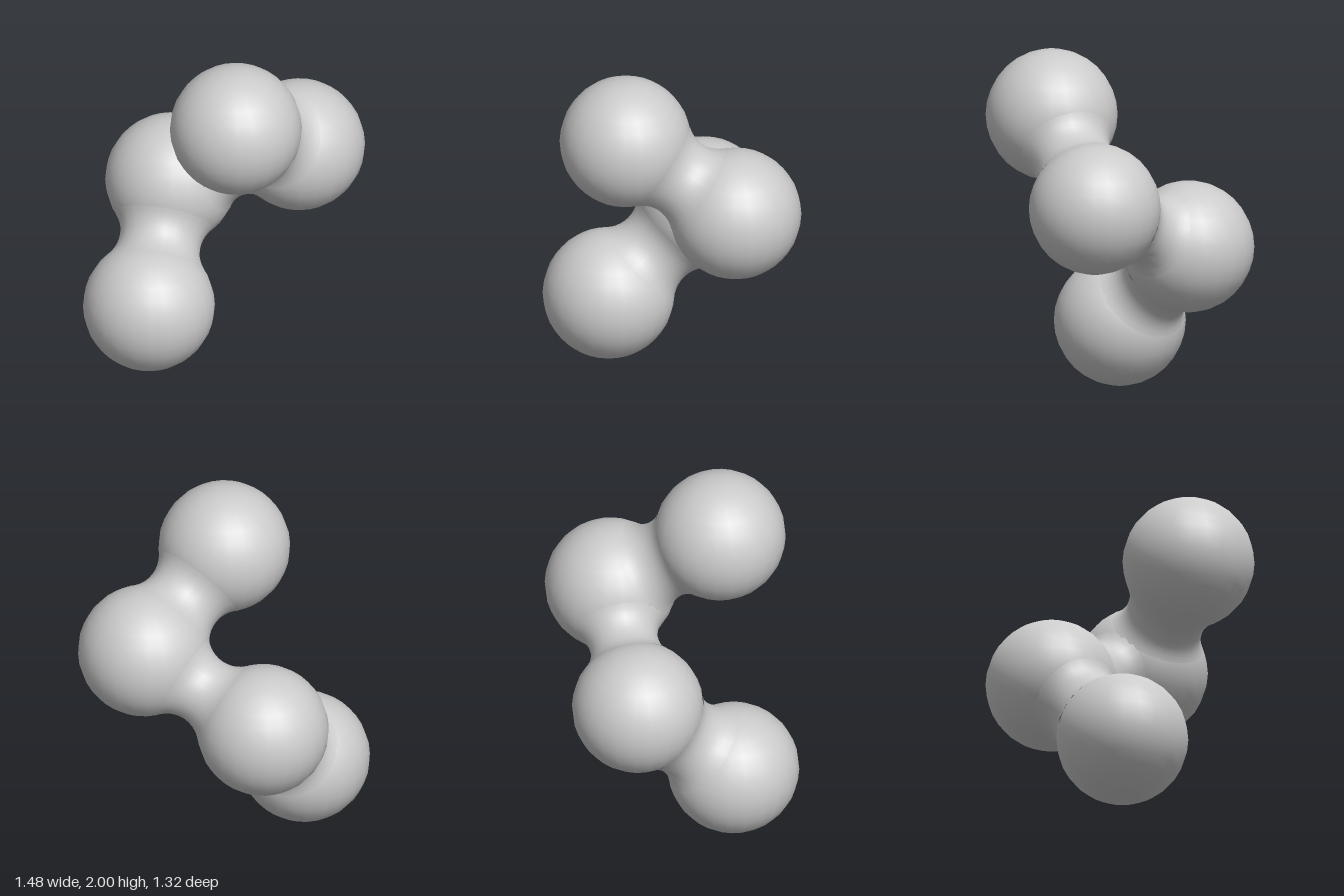
import * as THREE from 'three';

const R = 0.372; // ball radius
const material = new THREE.MeshStandardMaterial({ color: 0xcccccc });

// Chain of balls, bottom to top
const centres = [
  [-0.37, 0.37, 0.26],
  [-0.37, 0.88, -0.29],
  [0.37, 1.21, -0.29],
  [0.14, 1.63, 0.29],
].map((c) => new THREE.Vector3(...c));
const neckRadii = [0.23, 0.195, 0.225];

// Fillet circle that touches two balls and narrows to the neck radius
function fillet(a, b, neck) {
  const half = a.distanceTo(b) / 2;
  const f = (half * half + neck * neck - R * R) / (2 * (R - neck));
  return { a, b, neck, f, angle: Math.acos(half / (R + f)) };
}

// Concave neck, turned about the line between two ball centres
function makeNeck({ a, b, neck, f, angle }) {
  const sweep = Math.PI / 2 - angle;
  const profile = [];
  for (let i = 0; i <= 10; i++) {
    const t = sweep * (i / 5 - 1);
    profile.push(new THREE.Vector2(neck + f - f * Math.cos(t), f * Math.sin(t)));
  }
  const mesh = new THREE.Mesh(new THREE.LatheGeometry(profile, 24), material);
  mesh.position.lerpVectors(a, b, 0.5);
  mesh.quaternion.setFromUnitVectors(new THREE.Vector3(0, 1, 0), b.clone().sub(a).normalize());
  return mesh;
}

// Ball with the faces hidden under its necks left out
function makeBall(centre, necks) {
  const geometry = new THREE.SphereGeometry(R, 24, 16);
  const caps = necks.map((n) => ({
    dir: (n.a === centre ? n.b : n.a).clone().sub(centre).normalize(),
    angle: n.angle,
  }));
  const pos = geometry.attributes.position;
  const covered = (i, cap) =>
    new THREE.Vector3().fromBufferAttribute(pos, i).angleTo(cap.dir) < cap.angle;
  const old = geometry.index.array;
  const kept = [];
  for (let i = 0; i < old.length; i += 3) {
    const face = [old[i], old[i + 1], old[i + 2]];
    if (!caps.some((cap) => face.every((v) => covered(v, cap)))) kept.push(...face);
  }
  geometry.setIndex(kept);
  const mesh = new THREE.Mesh(geometry, material);
  mesh.position.copy(centre);
  return mesh;
}

export function createModel() {
  const group = new THREE.Group();
  group.name = 'ballChain';

  const necks = neckRadii.map((r, i) => fillet(centres[i], centres[i + 1], r));
  necks.forEach((n, i) => {
    const mesh = makeNeck(n);
    mesh.name = ['lowerNeck', 'middleNeck', 'upperNeck'][i];
    group.add(mesh);
  });
  centres.forEach((c, i) => {
    const mesh = makeBall(c, necks.filter((n) => n.a === c || n.b === c));
    mesh.name = ['bottomBall', 'rightBackBall', 'leftBackBall', 'topBall'][i];
    group.add(mesh);
  });
  return group;
}
